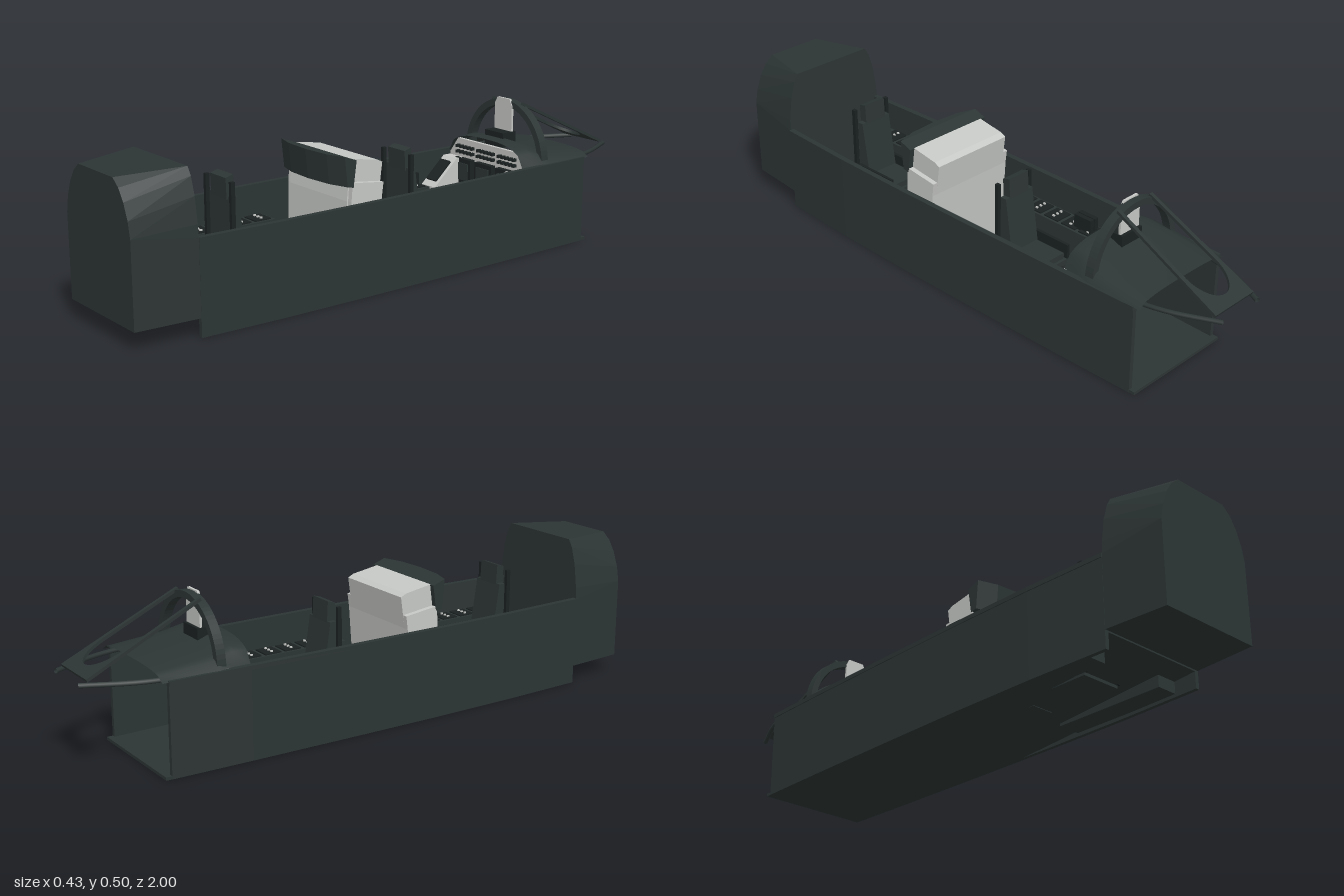
import * as THREE from 'three';
import { ConvexGeometry } from 'three/addons/geometries/ConvexGeometry.js';

const mat = (name, color) => {
  const m = new THREE.MeshStandardMaterial({ color, side: THREE.DoubleSide });
  m.name = name;
  return m;
};

export function createModel() {
  const model = new THREE.Group();
  model.name = 'tandemCockpit';
  const dark = mat('dark green grey', 0x2c3534);
  const black = mat('black trim', 0x1b2121);
  const light = mat('light grey', 0xc6c8c5);

  const add = (name, geo, m, parent = model) => {
    const mesh = new THREE.Mesh(geo, m);
    mesh.name = name;
    parent.add(mesh);
    return mesh;
  };
  // Box from its minimum and maximum corners
  const box = (name, m, x0, x1, y0, y1, z0, z1, parent) => {
    const b = add(name, new THREE.BoxGeometry(x1 - x0, y1 - y0, z1 - z0), m, parent);
    b.position.set((x0 + x1) / 2, (y0 + y1) / 2, (z0 + z1) / 2);
    return b;
  };
  const shapeOf = (pts) => new THREE.Shape(pts.map(([a, b]) => new THREE.Vector2(a, b)));
  const extrude = (shape, depth) => new THREE.ExtrudeGeometry(shape, { depth, bevelEnabled: false, curveSegments: 20 });
  // Side profile of [z, y] points, extruded across the width
  const across = (pts, width) => extrude(shapeOf(pts), width).rotateY(-Math.PI / 2).translate(width / 2, 0, 0);

  // Tub walls and rims, bulging gently along the length
  const plan = [[-0.77, 0.201], [-0.5, 0.207], [-0.1, 0.212], [0.2, 0.214], [0.5, 0.211], [0.79, 0.201]];
  const strip = (side, outer, inner, height) => extrude(shapeOf([
    ...plan.map(([z, w]) => [side * (w + outer), -z]),
    ...plan.slice().reverse().map(([z, w]) => [side * (w - inner), -z]),
  ]), height).rotateX(-Math.PI / 2);
  for (const s of [-1, 1]) {
    add('sideWall', strip(s, 0, 0.014, 0.3), dark);
    add('wallRim', strip(s, 0.003, 0.016, 0.014).translate(0, 0.288, 0), dark);
  }

  // Floor: flat in front, rising behind
  box('frontFloor', dark, -0.2, 0.2, 0, 0.01, -0.79, 0.06);
  add('rearFloor', across([[0.06, 0], [0.79, 0.055], [0.79, 0.066], [0.06, 0.01]], 0.4), dark);

  // Rear bulkhead housing, tapering from the cabin to its end face
  const wide = [[0.2, 0.06], [0.2, 0.3], [0.197, 0.34], [0.185, 0.42], [0.168, 0.475], [0.152, 0.501]];
  const narrow = [[0.185, 0.06], [0.185, 0.33], [0.175, 0.38], [0.155, 0.43], [0.13, 0.467], [0.1, 0.491]];
  const hull = [];
  for (const [pts, z] of [[wide, 0.79], [narrow, 1]]) {
    for (const [x, y] of pts) hull.push(new THREE.Vector3(x, y, z), new THREE.Vector3(-x, y, z));
  }
  add('rearBulkhead', new ConvexGeometry(hull), dark);

  // Nose coaming: arched cross-sections of [z, edge half-width, peak height]
  const sections = [[-0.79, 0.2, 0.325], [-0.6, 0.203, 0.35], [-0.54, 0.19, 0.372], [-0.49, 0.185, 0.368]];
  const n = 16, pos = [], index = [];
  sections.forEach(([z, w, h]) => {
    for (let i = 0; i <= n; i++) {
      const t = (i / n) * 2 - 1;
      pos.push(t * w, 0.298 + (h - 0.298) * Math.sqrt(Math.max(0, 1 - Math.abs(t) ** 3)), z);
    }
  });
  for (let r = 0; r < sections.length - 1; r++) {
    for (let i = 0; i < n; i++) {
      const a = r * (n + 1) + i, b = a + n + 1;
      index.push(a, b, a + 1, a + 1, b, b + 1);
    }
  }
  const coaming = new THREE.BufferGeometry();
  coaming.setAttribute('position', new THREE.Float32BufferAttribute(pos, 3));
  coaming.setIndex(index);
  coaming.computeVertexNormals();
  add('noseCoaming', coaming, dark);

  // Windscreen hoop
  const hoop = new THREE.Shape();
  hoop.moveTo(0.19, 0.295);
  hoop.absellipse(0, 0.3, 0.19, 0.198, 0, Math.PI, false);
  hoop.lineTo(-0.168, 0.295);
  hoop.absellipse(0, 0.3, 0.168, 0.176, Math.PI, 0, true);
  add('windscreenHoop', extrude(hoop, 0.03).translate(0, 0, -0.605), dark);

  // Sloping windscreen frame with a rounded opening
  const len = Math.hypot(0.38, 0.18);
  const frame = new THREE.Shape();
  frame.moveTo(-0.078, 0);
  frame.lineTo(-0.088, len);
  frame.lineTo(0.088, len);
  frame.lineTo(0.078, 0);
  frame.lineTo(0.066, 0);
  frame.lineTo(0.07, len - 0.14);
  frame.absellipse(0, len - 0.14, 0.07, 0.1, 0, Math.PI, false);
  frame.lineTo(-0.066, 0);
  const screenFrame = add('windscreenFrame', extrude(frame, 0.01), dark);
  screenFrame.rotation.x = -Math.PI / 2 - Math.atan2(0.18, 0.38);
  screenFrame.position.set(0, 0.485, -0.59);
  for (const s of [-1, 1]) {
    const path = new THREE.CatmullRomCurve3([
      [0.19, -0.57], [0.178, -0.7], [0.15, -0.84], [0.08, -0.995],
    ].map(([x, z]) => new THREE.Vector3(s * x, 0.298, z)));
    add('windscreenRail', new THREE.TubeGeometry(path, 16, 0.008, 6), dark);
  }

  // Sight glass
  add('sightGlass', extrude(shapeOf([
    [-0.042, 0.36], [0.042, 0.36], [0.042, 0.48], [0.03, 0.502], [-0.03, 0.502], [-0.042, 0.48],
  ]), 0.008).translate(0, 0, -0.58), light);
  box('sightBase', black, -0.045, 0.045, 0.34, 0.39, -0.59, -0.53);

  // Front instrument panel with displays and rows of switches
  add('frontPanel', extrude(shapeOf([
    [-0.19, 0.02], [0.19, 0.02], [0.19, 0.29], [0.15, 0.345], [-0.15, 0.345], [-0.19, 0.29],
  ]), 0.012).translate(0, 0, -0.512), light);
  for (const x of [-0.105, 0, 0.105]) {
    box('display', black, x - 0.042, x + 0.042, 0.19, 0.28, -0.502, -0.48);
    box('displayScreen', dark, x - 0.03, x + 0.03, 0.205, 0.265, -0.482, -0.476);
    for (let i = 0; i < 5; i++) {
      const bx = x - 0.036 + i * 0.018;
      box('switch', black, bx - 0.005, bx + 0.005, 0.295, 0.305, -0.502, -0.485);
      box('switch', black, bx - 0.005, bx + 0.005, 0.315, 0.325, -0.502, -0.485);
    }
  }
  box('centrePedestal', black, -0.06, 0.06, 0.01, 0.18, -0.502, -0.47);

  // Angled light panels beside the front panel
  for (const s of [-1, 1]) {
    const wing = add('wingPanel', across([[-0.5, 0.02], [-0.37, 0.02], [-0.37, 0.19], [-0.47, 0.28], [-0.5, 0.28]], 0.07), light);
    wing.position.x = s * 0.157;
    const face = box('wingInstrument', black, -0.025, 0.025, -0.004, 0.004, -0.045, 0.045);
    face.position.set(s * 0.16, 0.238, -0.419);
    face.rotation.x = Math.atan2(0.09, 0.1);
  }

  // Side consoles with small switches
  for (const [z0, z1] of [[-0.34, 0.05], [0.31, 0.71]]) {
    for (const s of [-1, 1]) {
      const c = new THREE.Group();
      c.name = 'sideConsole';
      c.position.x = s * 0.156;
      model.add(c);
      box('consoleBody', dark, -0.04, 0.04, 0.01, 0.2, z0, z1, c);
      for (let i = 0; i < 5; i++) {
        const z = z0 + 0.04 + i * 0.075;
        box('consolePlate', black, -0.032, 0.032, 0.2, 0.204, z - 0.03, z + 0.03, c);
        for (const x of [-0.018, 0, 0.018]) box('consoleSwitch', light, x - 0.003, x + 0.003, 0.204, 0.209, z - 0.004, z + 0.004, c);
      }
    }
  }
  for (const x of [-0.165, -0.145]) box('throttleLever', black, x - 0.008, x + 0.008, 0.2, 0.25, -0.31, -0.24);

  // Ejection seats
  for (const [z, lift] of [[-0.11, 0], [0.58, 0.02]]) {
    const seat = new THREE.Group();
    seat.name = 'seat';
    seat.position.set(0, lift, z);
    model.add(seat);
    box('seatBase', dark, -0.072, 0.072, 0.01, 0.13, -0.17, 0.01, seat);
    box('seatCushion', dark, -0.058, 0.058, 0.13, 0.15, -0.16, -0.03, seat);
    for (const s of [-1, 1]) {
      box('seatSide', black, s * 0.068 - 0.005, s * 0.068 + 0.005, 0.1, 0.18, -0.17, 0, seat);
      box('seatRail', black, s * 0.07 - 0.006, s * 0.07 + 0.006, 0.02, 0.385, 0.004, 0.018, seat);
    }
    add('seatBack', across([[-0.045, 0.13], [-0.015, 0.335], [0.008, 0.335], [0.008, 0.13]], 0.12), dark, seat);
    add('headrest', across([[-0.016, 0.33], [-0.012, 0.4], [0.015, 0.392], [0.013, 0.325]], 0.085), dark, seat);
  }

  // Control sticks
  for (const [z, y] of [[-0.38, 0.01], [0.31, 0.02]]) {
    box('stickBase', dark, -0.04, 0.04, y, y + 0.05, z - 0.04, z + 0.04);
    add('stickShaft', new THREE.CylinderGeometry(0.006, 0.01, 0.12, 10).translate(0, y + 0.1, z), black);
    add('stickGrip', new THREE.CylinderGeometry(0.013, 0.01, 0.05, 10).translate(0, y + 0.18, z), black);
  }

  // Middle instrument housing with its dark hood
  add('middleHousing', across([[0.12, 0.02], [0.1, 0.3], [0.085, 0.405], [0.105, 0.415], [0.21, 0.432], [0.225, 0.3], [0.23, 0.02]], 0.3), light);
  add('middleHousingStep', across([[0.12, 0.02], [0.1, 0.3], [0.094, 0.345], [0.215, 0.36], [0.22, 0.3], [0.225, 0.02]], 0.335), light);
  // Hood, bowed towards the rear seat
  const hood = [];
  for (const [x, back] of [[0, 0.272], [0.1, 0.265], [0.168, 0.245]]) {
    for (const s of [-1, 1]) {
      hood.push(new THREE.Vector3(s * x, 0.43, 0.2), new THREE.Vector3(s * x, 0.345, 0.212));
      hood.push(new THREE.Vector3(s * x, 0.446, back), new THREE.Vector3(s * x, 0.35, back - 0.01));
    }
  }
  add('middleHood', new ConvexGeometry(hood), dark);

  return model;
}
